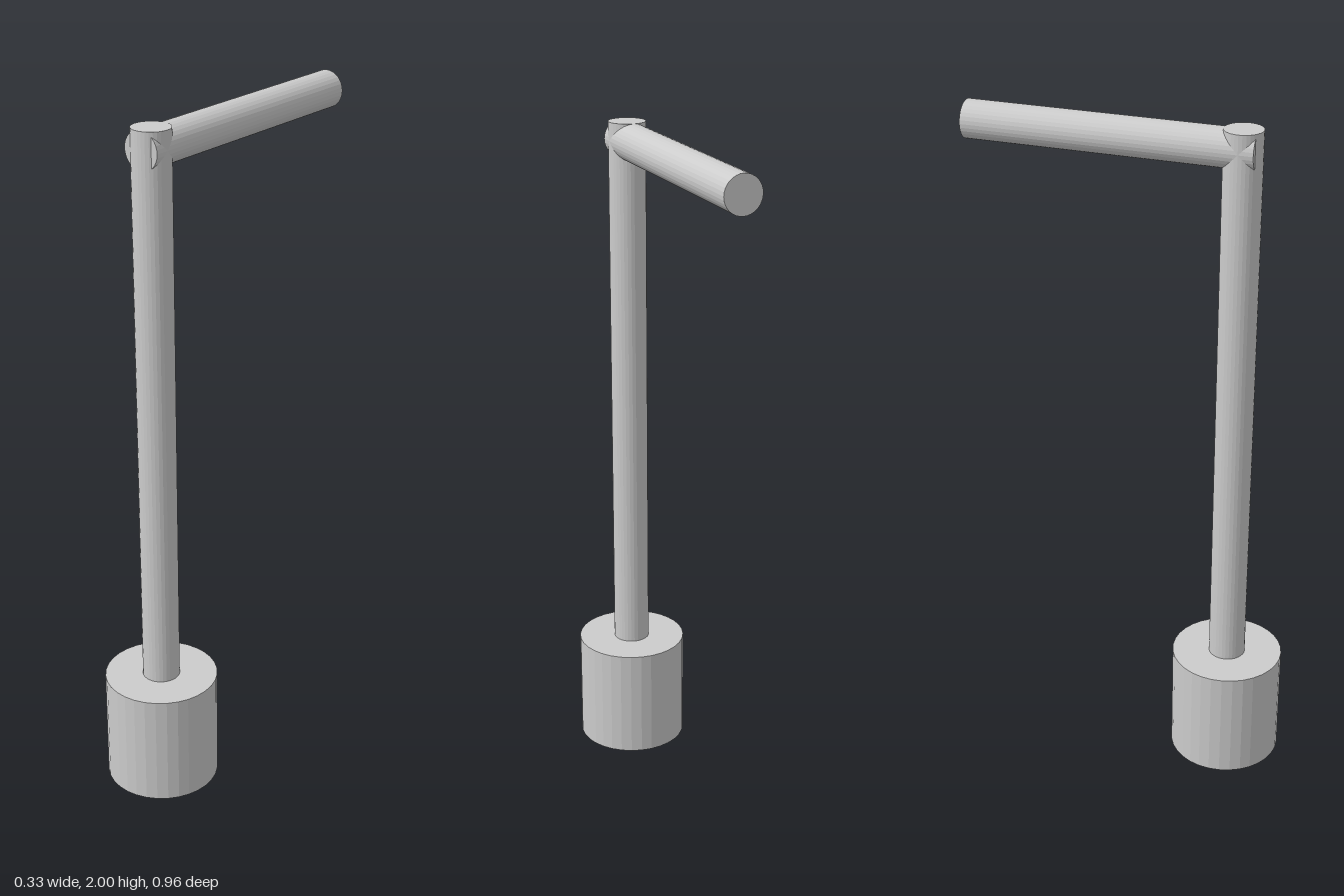
import * as THREE from 'three';

const SIDES = 32;
const POST_Z = 0.313;
const PIPE_RADIUS = 0.055;

export function createModel() {
  const group = new THREE.Group();
  const material = new THREE.MeshStandardMaterial({ color: 0xcccccc, flatShading: true });

  // Capped cylinder running between two points
  const rod = (name, radius, from, to) => {
    const a = new THREE.Vector3(...from);
    const b = new THREE.Vector3(...to);
    const axis = b.clone().sub(a);
    const mesh = new THREE.Mesh(
      new THREE.CylinderGeometry(radius, radius, axis.length(), SIDES), material);
    mesh.name = name;
    mesh.position.copy(a).add(b).multiplyScalar(0.5);
    mesh.quaternion.setFromUnitVectors(new THREE.Vector3(0, 1, 0), axis.normalize());
    group.add(mesh);
  };

  // Wide drum at the foot
  rod('base', 0.167, [0, 0, POST_Z], [0, 0.34, POST_Z]);
  // Upright pole standing on the drum
  rod('post', PIPE_RADIUS, [0, 0.34, POST_Z], [0, 2, POST_Z]);
  // Horizontal arm crossing the pole top and reaching back
  rod('arm', PIPE_RADIUS, [0, 1.945, 0.355], [0, 1.945, -0.48]);

  return group;
}
